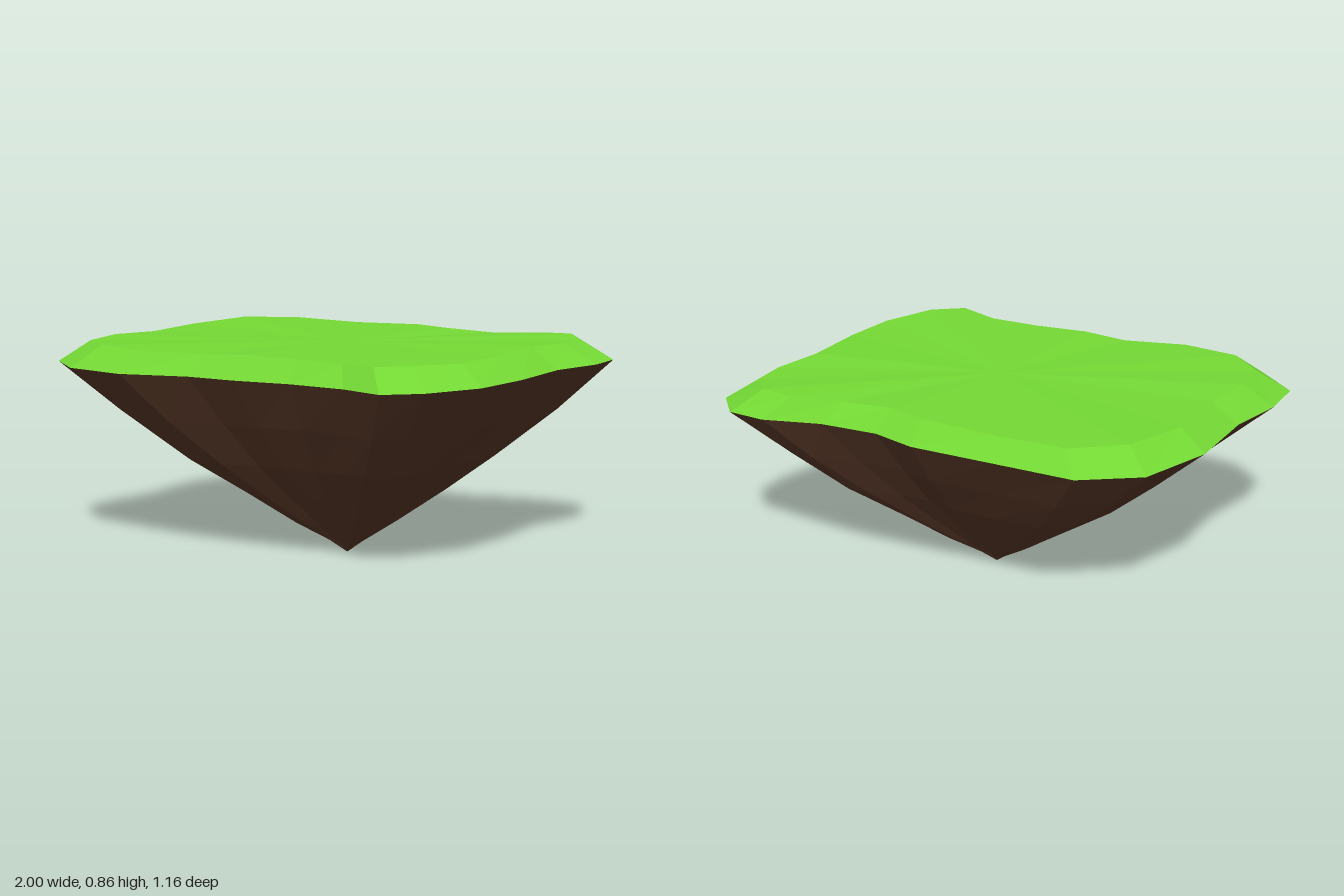
import * as THREE from 'three';

// Island outline [x, z], running left, back, right, front
const outline = [
  [-1, 0.39], [-0.97, 0.23], [-0.88, 0.04], [-0.82, -0.23], [-0.67, -0.47],
  [-0.44, -0.58], [-0.13, -0.565], [0.19, -0.55], [0.35, -0.5], [0.57, -0.5],
  [0.79, -0.545], [0.93, -0.53], [1, -0.43], [0.97, -0.3], [0.87, -0.13],
  [0.81, 0.12], [0.73, 0.33], [0.58, 0.5], [0.44, 0.58], [0.28, 0.53],
  [0.06, 0.51], [-0.17, 0.52], [-0.36, 0.51], [-0.63, 0.555], [-0.87, 0.51],
];
const tip = new THREE.Vector3(0.06, 0, -0.01);

// Scaled copy of the outline at height y, drifting towards the tip as it shrinks
function ring(scale, y, drift, bump) {
  return outline.map(([x, z], i) => {
    const wobble = Math.sin(i * 2.4 + y * 17) * bump;
    const s = scale * (1 + wobble);
    return new THREE.Vector3(
      x * s + tip.x * drift,
      y + 0.006 * (x - z) * scale + wobble * 0.12,
      z * s + tip.z * drift
    );
  });
}

// Joins rings from bottom to top; a ring of one point closes the end as a fan
function loft(rings) {
  const positions = [];
  const add = (...points) => points.forEach((p) => positions.push(p.x, p.y, p.z));
  for (let k = 0; k < rings.length - 1; k++) {
    const low = rings[k], high = rings[k + 1];
    for (let i = 0; i < outline.length; i++) {
      const j = (i + 1) % outline.length;
      const a = low[i % low.length], b = low[j % low.length];
      const c = high[i % high.length], d = high[j % high.length];
      if (low.length > 1) add(a, c, b);
      if (high.length > 1) add(b, c, d);
    }
  }
  const geometry = new THREE.BufferGeometry();
  geometry.setAttribute('position', new THREE.Float32BufferAttribute(positions, 3));
  geometry.computeVertexNormals();
  return geometry;
}

function part(name, color, rings) {
  const material = new THREE.MeshStandardMaterial({ color, flatShading: true });
  const mesh = new THREE.Mesh(loft(rings), material);
  mesh.name = name;
  return mesh;
}

export function createModel() {
  const group = new THREE.Group();
  group.name = 'floatingIsland';
  const rim = ring(1, 0.763, 0, 0);

  // Earth: tapering cone of uneven rings down to the tip
  const profile = [[0.06, 0.045], [0.19, 0.125], [0.37, 0.25], [0.57, 0.39], [0.79, 0.57]];
  const earthRings = profile.map(([s, y]) => ring(s, y, 1 - s, 0.03 * (1 - s)));
  group.add(part('earth', 0x4d3021, [[tip], ...earthRings, rim]));

  // Grass: bevelled edge and a nearly flat top fanned from the middle
  const topEdge = ring(0.88, 0.845, 0, 0).map((p, i) => {
    p.y += 0.005 * Math.sin(i * 1.9);
    return p;
  });
  group.add(part('grass', 0x74d834, [rim, topEdge, [new THREE.Vector3(0.04, 0.845, -0.01)]]));
  return group;
}
